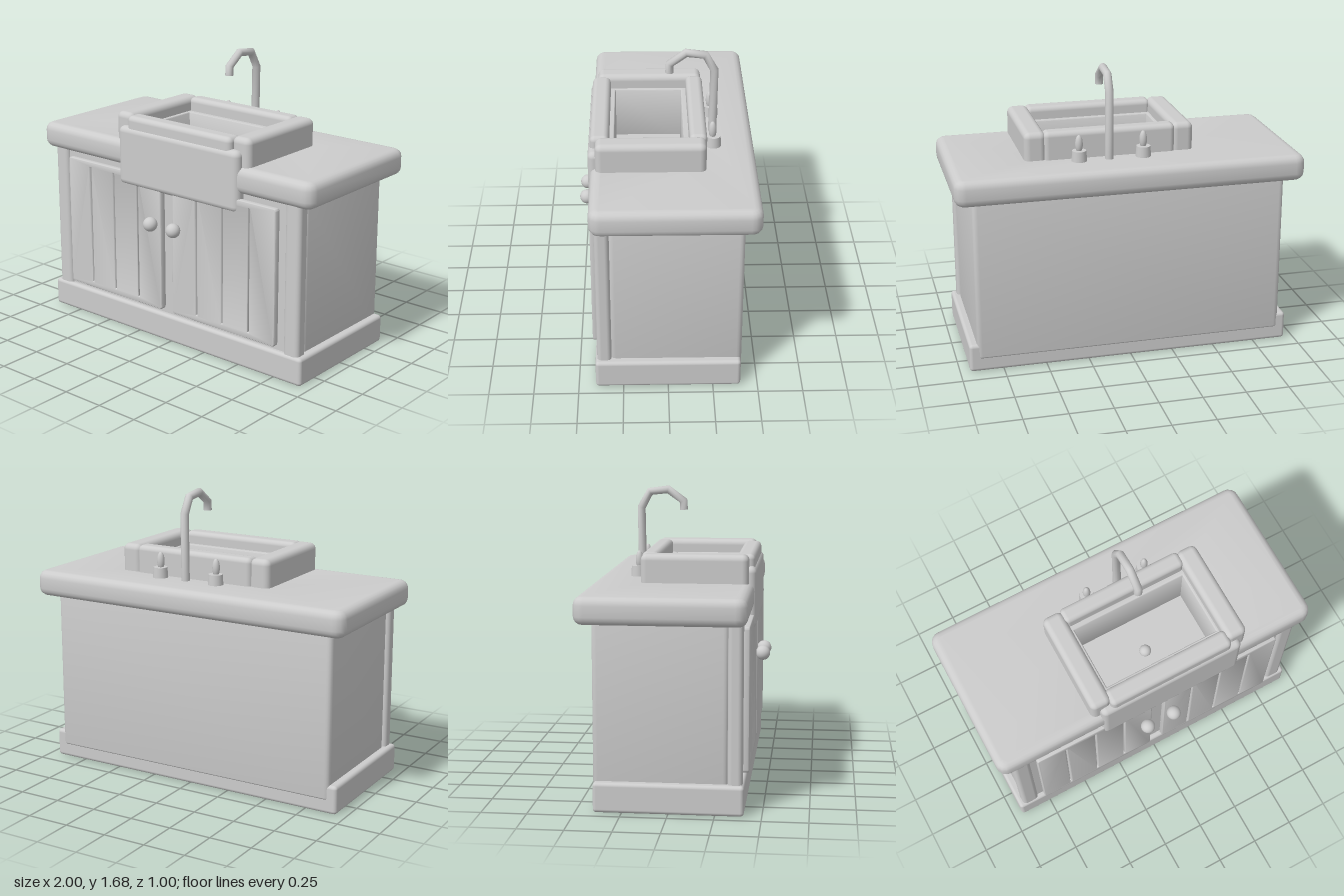
import * as THREE from 'three';
import { toCreasedNormals } from 'three/addons/utils/BufferGeometryUtils.js';
import { RoundedBoxGeometry } from 'three/addons/geometries/RoundedBoxGeometry.js';

const grey = new THREE.MeshStandardMaterial({ color: 0xcccccc });
grey.name = 'plain grey';

function add(parent, name, geometry, x = 0, y = 0, z = 0) {
  const mesh = new THREE.Mesh(geometry, grey);
  mesh.name = name;
  mesh.position.set(x, y, z);
  parent.add(mesh);
  return mesh;
}

// Rounded box given by its limits
function box(parent, name, [x0, x1], [y0, y1], [z0, z1], r) {
  const g = new RoundedBoxGeometry(x1 - x0, y1 - y0, z1 - z0, 3, r);
  return add(parent, name, g, (x0 + x1) / 2, (y0 + y1) / 2, (z0 + z1) / 2);
}

function roundedRect(path, x0, x1, y0, y1, r) {
  path.moveTo(x0 + r, y0);
  path.lineTo(x1 - r, y0);
  path.quadraticCurveTo(x1, y0, x1, y0 + r);
  path.lineTo(x1, y1 - r);
  path.quadraticCurveTo(x1, y1, x1 - r, y1);
  path.lineTo(x0 + r, y1);
  path.quadraticCurveTo(x0, y1, x0, y1 - r);
  path.lineTo(x0, y0 + r);
  path.quadraticCurveTo(x0, y0, x0 + r, y0);
  return path;
}

// Bevelled plate with rectangular holes, lying in xy and spanning d0..d1 in z
function plate([x0, x1, y0, y1], holes, d0, d1, bevel, corner) {
  const b = bevel;
  const shape = roundedRect(new THREE.Shape(), x0 + b, x1 - b, y0 + b, y1 - b, corner);
  for (const [a0, a1, c0, c1] of holes) {
    shape.holes.push(roundedRect(new THREE.Path(), a0 - b, a1 + b, c0 - b, c1 + b, 0.004));
  }
  const g = new THREE.ExtrudeGeometry(shape, {
    depth: d1 - d0 - 2 * b, bevelThickness: b, bevelSize: b, bevelSegments: 4, curveSegments: 4,
  });
  g.translate(0, 0, d0 + b);
  return toCreasedNormals(g, 0.6);
}

// The same plate laid flat: limits in x and z, spanning y0..y1
function slab([x0, x1, z0, z1], [a0, a1, c0, c1], y0, y1, bevel, corner) {
  return plate([x0, x1, -z1, -z0], [[a0, a1, -c1, -c0]], y0, y1, bevel, corner).rotateX(-Math.PI / 2);
}

function buildCabinet(root) {
  const cabinet = new THREE.Group();
  cabinet.name = 'cabinet';
  root.add(cabinet);
  box(cabinet, 'plinth', [-0.945, 0.945], [0, 0.165], [-0.405, 0.405], 0.02);
  add(cabinet, 'cabinetBody',
    slab([-0.9, 0.9, -0.41, 0.32], [-0.85, 0.85, -0.36, 0.295], 0.08, 1.03, 0.01, 0.02));
  box(cabinet, 'faceFrame', [-0.83, 0.83], [0.1, 1.03], [0.31, 0.375], 0.01);
  for (const s of [-1, 1]) {
    const name = s < 0 ? 'right' : 'left';
    box(cabinet, name + 'Post', s < 0 ? [-0.917, -0.815] : [0.815, 0.917], [0.1, 1.05], [0.315, 0.395], 0.025);
    // Door with three plank grooves over a backing sheet
    const x0 = s < 0 ? -0.78 : 0.04;
    const grooves = [1, 2, 3].map((i) => {
      const x = x0 + i * 0.187 - 0.006;
      return [x - 0.004, x + 0.004, 0.235, 0.955];
    });
    add(cabinet, name + 'Door', plate([x0, x0 + 0.737, 0.197, 0.992], grooves, 0.385, 0.422, 0.008, 0.008));
    box(cabinet, name + 'DoorBacking', [x0 + 0.01, x0 + 0.727], [0.207, 0.982], [0.36, 0.4], 0.005);
    add(cabinet, name + 'Knob', new THREE.SphereGeometry(0.042, 24, 16), s < 0 ? -0.09 : 0.083, 0.727, 0.46);
  }
}

function buildSink(root) {
  const sink = new THREE.Group();
  sink.name = 'sink';
  root.add(sink);
  // Raised rim
  box(sink, 'rightRim', [-0.41, -0.285], [1.1, 1.33], [-0.215, 0.39], 0.035);
  box(sink, 'leftRim', [0.445, 0.57], [1.1, 1.33], [-0.215, 0.39], 0.035);
  box(sink, 'backRim', [-0.3, 0.46], [1.1, 1.33], [-0.222, -0.125], 0.03);
  box(sink, 'frontRim', [-0.3, 0.46], [1.0, 1.325], [0.315, 0.42], 0.03);
  box(sink, 'apron', [-0.362, 0.522], [0.91, 1.26], [0.345, 0.432], 0.035);
  // Inner tub, just inside the rim
  add(sink, 'tub', slab([-0.32, 0.48, -0.15, 0.335], [-0.265, 0.43, -0.095, 0.287], 0.905, 1.25, 0.01, 0.01));
  box(sink, 'tubFloor', [-0.29, 0.455], [0.905, 0.95], [-0.12, 0.31], 0.005);
  add(sink, 'drain', new THREE.SphereGeometry(0.035, 20, 14), 0.08, 0.955, 0.11);
}

function buildFaucet(root) {
  const faucet = new THREE.Group();
  faucet.name = 'faucet';
  root.add(faucet);
  // Angular gooseneck, one ring per path point
  const points = [
    [1.16, -0.267], [1.553, -0.273], [1.645, -0.222], [1.658, -0.115], [1.592, -0.024], [1.54, -0.022],
  ].map(([y, z]) => new THREE.Vector3(0.098, y, z));
  const curve = new THREE.CatmullRomCurve3(points);
  curve.getPointAt = (u, target) => curve.getPoint(u, target);
  curve.getTangentAt = (u, target) => curve.getTangent(u, target);
  add(faucet, 'spout', new THREE.TubeGeometry(curve, points.length - 1, 0.024, 12));
  add(faucet, 'spoutEnd', new THREE.CircleGeometry(0.024, 12).rotateX(Math.PI / 2), 0.098, 1.54, -0.022);
  for (const [name, x] of [['right', -0.1], ['left', 0.27]]) {
    add(faucet, name + 'TapBase', new THREE.CylinderGeometry(0.04, 0.045, 0.07, 20), x, 1.195, -0.265);
    add(faucet, name + 'TapHandle', new THREE.SphereGeometry(0.022, 16, 12), x, 1.265, -0.26).scale.y = 2.4;
  }
}

export function createModel() {
  const root = new THREE.Group();
  root.name = 'sinkCabinet';
  buildCabinet(root);
  add(root, 'countertop',
    slab([-1, 1, -0.495, 0.42], [-0.3, 0.465, -0.13, 0.315], 1.02, 1.17, 0.045, 0.02));
  buildSink(root);
  buildFaucet(root);
  return root;
}
